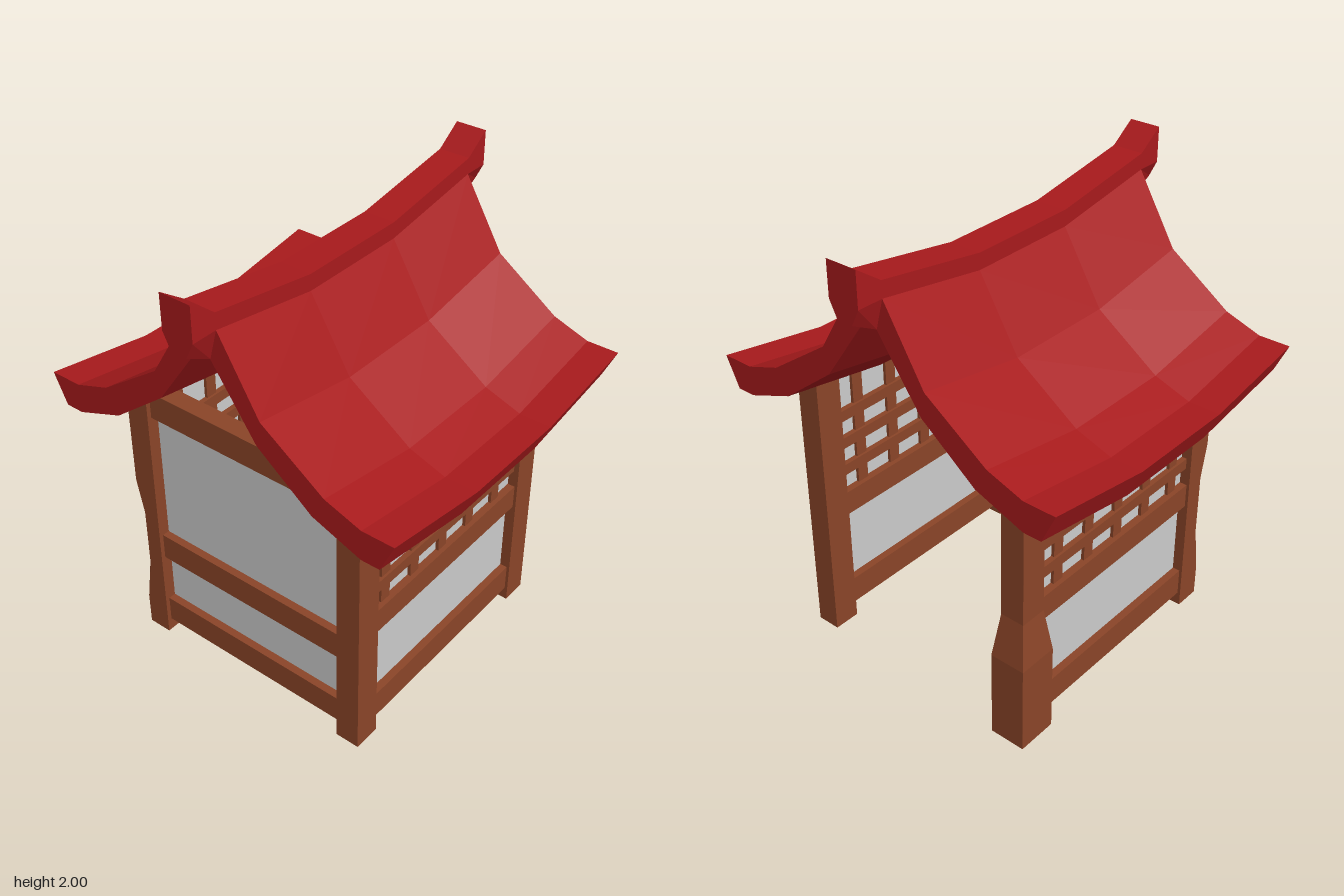
import * as THREE from 'three';

const mat = (color) => new THREE.MeshStandardMaterial({ color, flatShading: true, side: THREE.DoubleSide });

// Solid through a row of rings; each ring is a closed strip-like outline, capped at both ends.
function loft(rings) {
  const n = rings[0].length, last = (rings.length - 1) * n;
  const idx = [];
  for (let r = 0; r < rings.length - 1; r++) {
    for (let i = 0; i < n; i++) {
      const a = r * n + i, b = r * n + (i + 1) % n;
      idx.push(a, b, b + n, a, b + n, a + n);
    }
  }
  for (let i = 0; i < Math.floor(n / 2); i++) {
    const q = [i, i + 1, n - 2 - i, n - 1 - i];
    for (const [a, b, c] of [[q[0], q[1], q[2]], [q[0], q[2], q[3]]]) {
      if (a === b || b === c || a === c) continue;
      idx.push(a, c, b, last + a, last + b, last + c);
    }
  }
  // Turn all faces outward
  const pts = rings.flat().map((p) => new THREE.Vector3(...p));
  let volume = 0;
  for (let i = 0; i < idx.length; i += 3) {
    volume += pts[idx[i]].dot(pts[idx[i + 1]].clone().cross(pts[idx[i + 2]]));
  }
  if (volume < 0) idx.reverse();
  let geo = new THREE.BufferGeometry().setFromPoints(pts);
  geo.setIndex(idx);
  geo = geo.toNonIndexed();
  geo.computeVertexNormals();
  return geo;
}

export function createModel() {
  const model = new THREE.Group();
  model.name = 'gatehouse';
  const wood = mat(0x8b4528), red = mat(0xa81a1c), grey = mat(0xcccccc);

  const add = (parent, name, geo, material) => {
    const mesh = new THREE.Mesh(geo, material);
    mesh.name = name;
    parent.add(mesh);
    return mesh;
  };
  // Box given by its limits
  const box = (parent, name, material, x0, x1, y0, y1, z0, z1) => {
    const m = add(parent, name, new THREE.BoxGeometry(x1 - x0, y1 - y0, z1 - z0), material);
    m.position.set((x0 + x1) / 2, (y0 + y1) / 2, (z0 + z1) / 2);
  };

  // Corner posts: tops slope with the roof; sx, sz pick the corner.
  // Levels are [height, flare in x, flare in z, cut off the outer edge].
  const post = (name, sx, sz, levels) => {
    const rings = levels.map(([y, fx, fz, cut], k) => {
      const top = k === levels.length - 1;
      const x0 = 0.487 - fx, x1 = 0.607 + fx, z0 = 0.472 - fz, z1 = 0.58 + fz;
      const ring = [[x0, z0], [x1, z0], [x1, z1 - cut], [x1 - cut, z1], [x0, z1]];
      return ring.map(([x, z]) => [sx * x, top ? y - (z - 0.472) * 0.42 : y, sz * z]);
    });
    add(model, name, loft(rings), wood);
  };
  const e = 0.001, topY = 1.25;
  const plain = [[0, 0, 0, e], [topY, 0, 0, e]];
  post('frontLeftPost', 1, 1, plain);
  post('frontRightPost', -1, 1, plain);
  post('flaredBackPost', 1, -1,
    [[0, 0.03, 0.025, e], [0.4, 0.03, 0.025, e], [0.6, 0, 0, e], [topY, 0, 0, e]]);
  post('wornBackPost', -1, -1,
    [[0, 0, 0, e], [0.15, 0, 0, e], [0.36, 0, 0, 0.034], [0.64, 0, 0, 0.034], [0.8, 0, 0, e], [topY, 0, 0, e]]);

  // Front and back walls: rails, panel and lattice
  for (const s of [1, -1]) {
    const wall = new THREE.Group();
    wall.name = s > 0 ? 'frontWall' : 'backWall';
    wall.position.z = s * 0.527;
    model.add(wall);
    box(wall, 'bottomRail', wood, -0.5, 0.5, 0.06, 0.185, -0.04, 0.04);
    box(wall, 'middleRail', wood, -0.5, 0.5, 0.535, 0.645, -0.04, 0.04);
    box(wall, 'panel', grey, -0.5, 0.5, 0.12, 1.18, -0.006, 0.006);
    for (let i = 0; i < 5; i++) {
      const x = -0.4 + i * 0.19;
      box(wall, 'latticeUpright', wood, x - 0.027, x + 0.027, 0.62, 1.2, -0.02, 0.02);
    }
    for (let i = 0; i < 3; i++) {
      const y = 0.75 + i * 0.13;
      box(wall, 'latticeBar', wood, -0.5, 0.5, y - 0.025, y + 0.025, -0.03, 0.03);
    }
  }

  // Closed side wall; the opposite side stays open
  const side = new THREE.Group();
  side.name = 'sideWall';
  side.position.x = -0.547;
  model.add(side);
  for (const y of [0.06, 0.42, 1.15]) {
    box(side, 'sideRail', wood, -0.04, 0.04, y, y + 0.122, -0.48, 0.48);
  }
  box(side, 'sidePanel', grey, -0.006, 0.006, 0.12, 1.2, -0.48, 0.48);

  // Roof slopes: one curved profile [z, y] sagging towards the middle
  const slope = [
    [0.83, 1.3], [0.69, 1.3], [0.53, 1.355], [0.25, 1.55], [0.07, 1.85],
    [0.033, 1.72], [0.23, 1.44], [0.475, 1.25], [0.69, 1.17], [0.77, 1.17],
  ];
  const stations = [[-0.747, 0], [-0.25, -0.08], [0.25, -0.08], [0.747, 0]];
  for (const s of [1, -1]) {
    const rings = stations.map(([x, dy]) => slope.map(([z, y]) => [x, y + dy, s * z]));
    add(model, s > 0 ? 'frontRoof' : 'backRoof', loft(rings), red);
  }

  // Ridge beam with upturned ends: [x, top, shoulder, bottom]
  const half = [[0.25, 1.84, 1.77, 1.64], [0.747, 1.92, 1.85, 1.72], [0.86, 2.0, 1.85, 1.78]];
  const ridge = [...half.map(([x, ...r]) => [-x, ...r]).reverse(), ...half];
  add(model, 'ridgeBeam', loft(ridge.map(([x, top, mid, low]) => [
    [x, top, 0.07], [x, mid, 0.07], [x, low, 0.035],
    [x, low, -0.035], [x, mid, -0.07], [x, top, -0.07],
  ])), red);

  return model;
}
